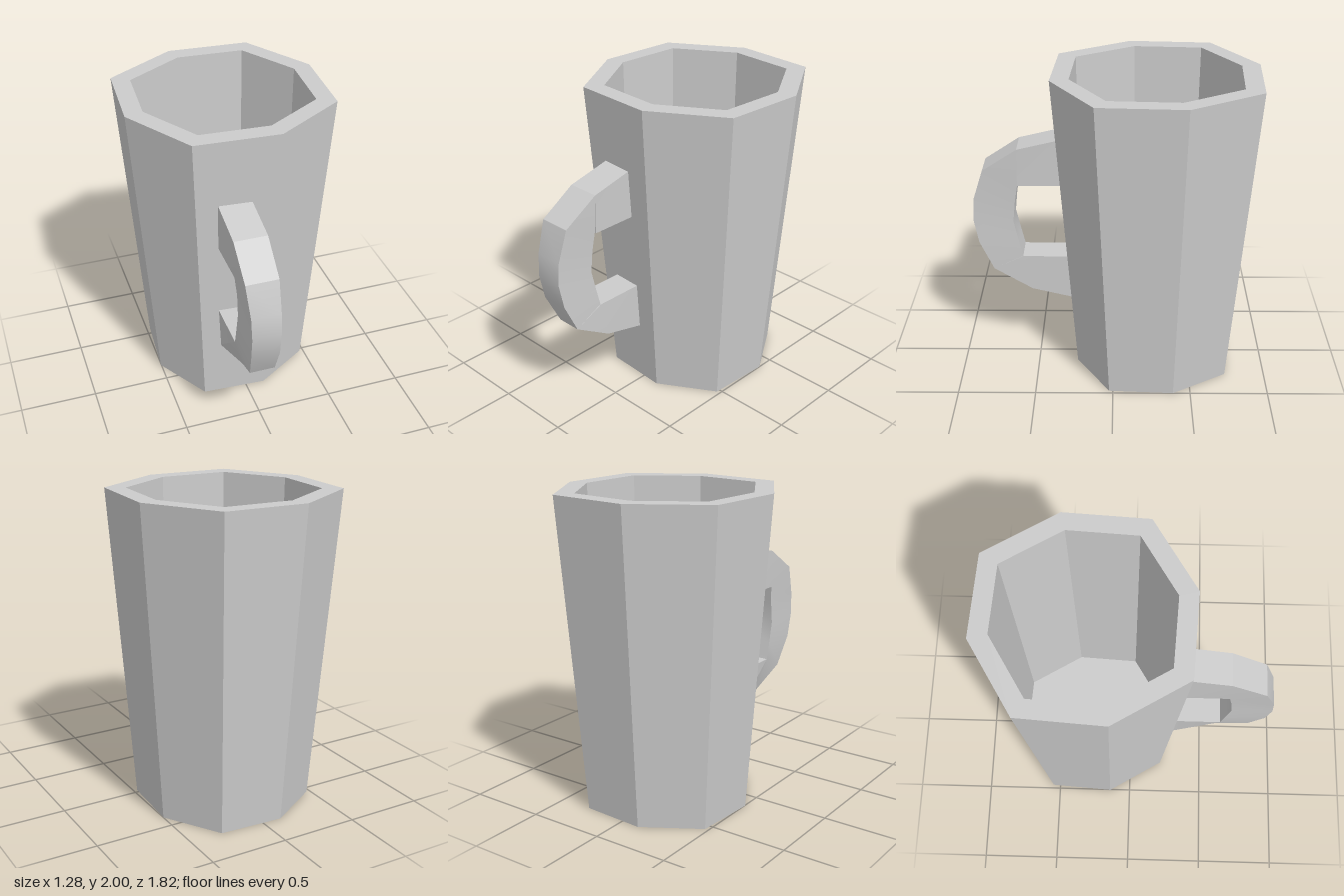
import * as THREE from 'three';
import { toCreasedNormals } from 'three/addons/utils/BufferGeometryUtils.js';

// Skins a closed, capped solid through rings of equal point count.
function loft(rings, crease) {
  const n = rings[0].length;
  const index = [];
  for (let i = 0; i < rings.length - 1; i++) {
    for (let j = 0; j < n; j++) {
      const a = i * n + j, b = i * n + (j + 1) % n, c = b + n, d = a + n;
      index.push(a, d, c, a, c, b);
    }
  }
  const end = (rings.length - 1) * n;
  for (let j = 1; j < n - 1; j++) {
    index.push(0, j, j + 1);
    index.push(end, end + j + 1, end + j);
  }
  const geometry = new THREE.BufferGeometry();
  geometry.setAttribute('position', new THREE.Float32BufferAttribute(rings.flat(2), 3));
  geometry.setIndex(index);
  return toCreasedNormals(geometry, crease);
}

function addPart(group, name, geometry) {
  const mesh = new THREE.Mesh(geometry, new THREE.MeshStandardMaterial({ color: 0xcccccc }));
  mesh.name = name;
  group.add(mesh);
}

export function createModel() {
  const group = new THREE.Group();
  group.name = 'mug';

  // Slightly uneven octagon of the rim, [x, z]
  const rim = [
    [-0.16, -0.905], [0.365, -0.875], [0.64, -0.425], [0.61, 0.105],
    [0.16, 0.38], [-0.37, 0.35], [-0.645, -0.105], [-0.61, -0.63],
  ];
  const centerZ = -0.262;
  const ring = (scale, y) => rim.map(([x, z]) => [x * scale, y, centerZ + (z - centerZ) * scale]);

  // Tapered cup: base, outer rim, inner rim, inside floor
  addPart(group, 'cup', loft([ring(0.78, 0), ring(1, 2), ring(0.82, 2), ring(0.765, 0.08)], 0.4));

  // Handle stations: outer z, y; inner z, y; right side x outer, inner; left side x
  const stations = [
    [0.29, 1.566, 0.27, 1.24, -0.215, -0.21, -0.005],
    [0.61, 1.49, 0.615, 1.24, -0.215, -0.21, -0.005],
    [0.835, 1.34, 0.615, 1.24, -0.22, -0.21, -0.015],
    [0.90, 1.14, 0.635, 1.12, -0.205, -0.20, -0.02],
    [0.91, 0.99, 0.65, 0.98, -0.20, -0.20, -0.02],
    [0.88, 0.83, 0.62, 0.84, -0.195, -0.20, -0.015],
    [0.79, 0.635, 0.595, 0.73, -0.17, -0.20, -0.01],
    [0.54, 0.485, 0.595, 0.73, -0.13, -0.20, -0.005],
    [0.235, 0.41, 0.25, 0.73, -0.18, -0.20, -0.005],
  ];
  const sections = stations.map(([oz, oy, iz, iy, xo, xi, xl]) => [
    [xo, oy, oz], [xl, oy, oz], [xl, iy, iz], [xi, iy, iz],
  ]);
  addPart(group, 'handle', loft(sections, 0.33));

  return group;
}
